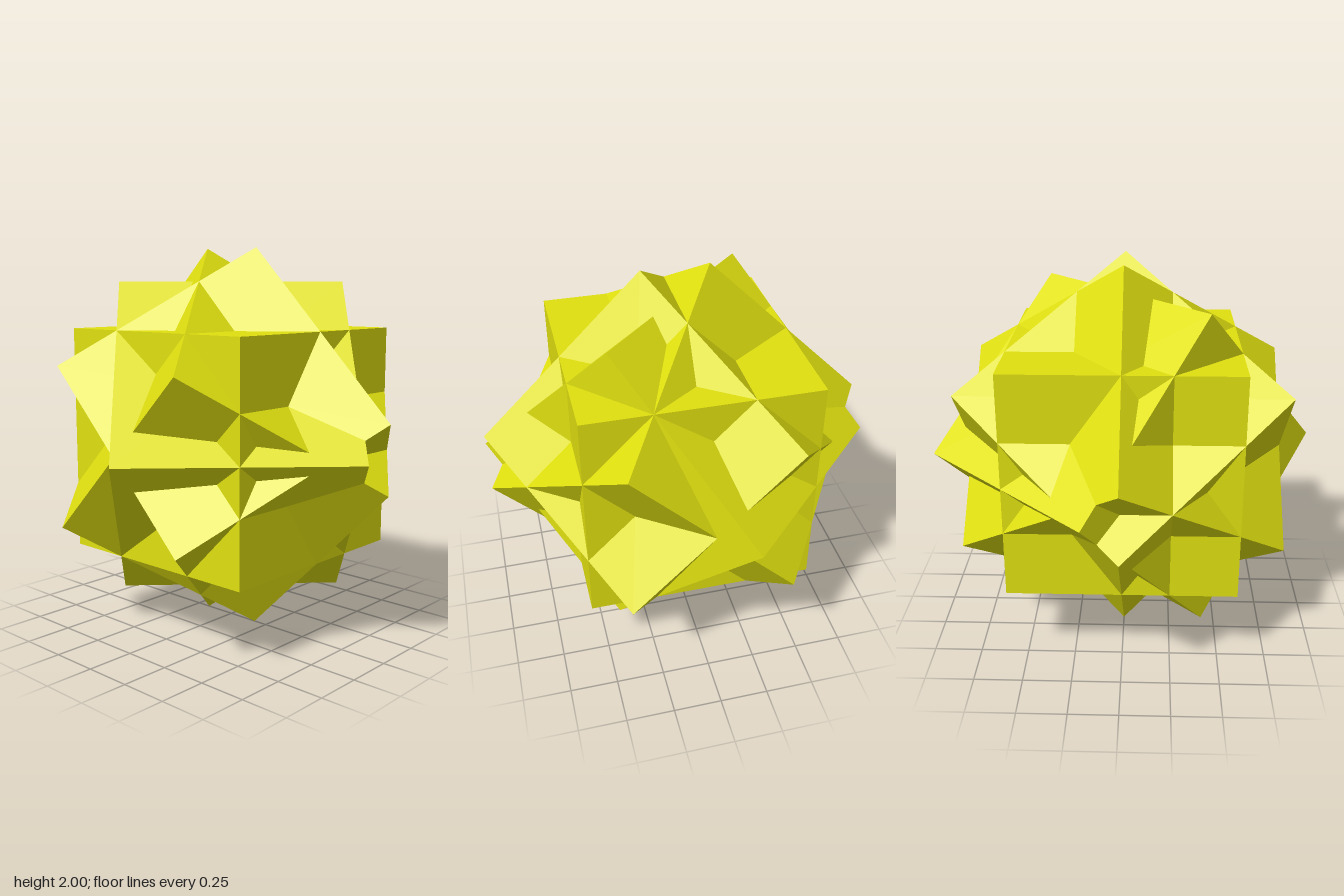
import * as THREE from 'three';

// Compound of four equal, interpenetrating cubes sharing one centre
export function createModel() {
  const group = new THREE.Group();
  group.name = 'cubeCompound';

  const edge = 2 * (2 - Math.SQRT2);
  const q = Math.PI / 4;
  const geometry = new THREE.BoxGeometry(edge, edge, edge);
  const material = new THREE.MeshStandardMaterial({ color: 0xe0e010, flatShading: true });

  // Each tilted cube turns an eighth about x, then an eighth about y or z
  const cubes = [
    ['uprightCube', 0, 0, 0],
    ['cubeTurnedAboutY', q, q, 0],
    ['cubeTurnedLeft', q, 0, q],
    ['cubeTurnedRight', q, 0, -q],
  ];
  for (const [name, x, y, z] of cubes) {
    const cube = new THREE.Mesh(geometry, material);
    cube.name = name;
    cube.rotation.set(x, y, z, 'ZYX');
    cube.position.y = 1;
    group.add(cube);
  }
  return group;
}
